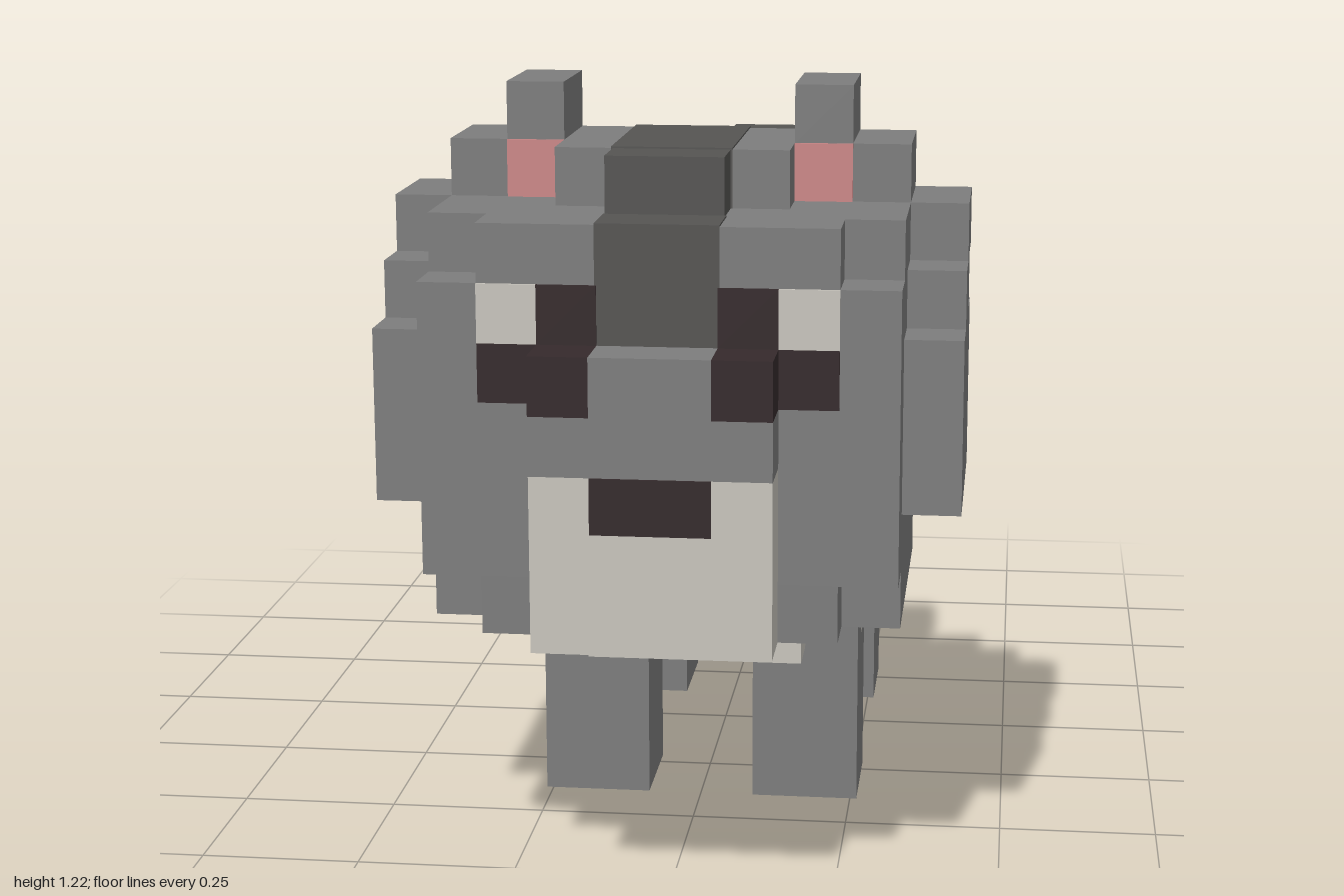
import * as THREE from 'three';

const U = 2 / 23; // one block

const mat = (name, color) => {
  const m = new THREE.MeshStandardMaterial({ color });
  m.name = name;
  return m;
};

export function createModel() {
  const grey = mat('greyFur', 0x7d7d7d);
  const dark = mat('darkFur', 0x555452);
  const cream = mat('creamFur', 0xc8c5bd);
  const brown = mat('darkBrown', 0x352a2c);
  const pink = mat('pinkEar', 0xcb8787);

  const root = new THREE.Group();
  root.name = 'blockAnimal';
  const group = (name) => {
    const g = new THREE.Group();
    g.name = name;
    root.add(g);
    return g;
  };

  // Box between block coordinates; grow makes a thin painted skin.
  const box = (parent, name, m, [x0, x1], [y0, y1], [z0, z1], grow = 0) => {
    const g = new THREE.BoxGeometry((x1 - x0 + grow * 2) * U, (y1 - y0 + grow * 2) * U, (z1 - z0 + grow * 2) * U);
    const mesh = new THREE.Mesh(g, m);
    mesh.name = name;
    mesh.position.set((x0 + x1) / 2 * U, (y0 + y1) / 2 * U, (z0 + z1) / 2 * U);
    parent.add(mesh);
  };
  const mid = (parent, name, m, w, y, z, grow) => box(parent, name, m, [-w, w], y, z, grow);
  const pair = (parent, name, m, [x0, x1], y, z, grow) => {
    box(parent, name + 'Left', m, [x0, x1], y, z, grow);
    box(parent, name + 'Right', m, [-x1, -x0], y, z, grow);
  };
  const SKIN = 0.03;

  // Body
  const body = group('body');
  mid(body, 'torso', grey, 3, [4, 6], [-3.5, 4.5]);
  mid(body, 'back', grey, 3, [6, 7], [-2.5, 4.5]);
  mid(body, 'backEnd', grey, 2, [6, 7], [-3.5, -2.5]);
  mid(body, 'tailRoot', grey, 1, [6, 7], [-4.5, -3.5]);
  mid(body, 'rump', grey, 2, [4, 5], [-4.5, -3.5]);
  mid(body, 'rumpStripe', dark, 2, [5, 6], [-4.5, -3.5]);
  mid(body, 'chest', grey, 2, [4, 5], [4.5, 5.5]);
  mid(body, 'neckStep', grey, 2, [7, 8], [2.5, 3.5]);
  mid(body, 'belly', cream, 2, [3, 4], [-4.5, 5.5]);
  pair(body, 'bellySide', cream, [2, 3], [3, 4], [-2.5, 3.5]);
  pair(body, 'shoulder', grey, [2, 3], [3, 4], [3.5, 4.5]);
  pair(body, 'hip', grey, [2, 3], [3, 4], [-3.5, -2.5]);
  for (const z of [-1.5, 1.5]) mid(body, 'backStripe', dark, 3, [5, 7], [z + 0.03, z + 0.97], SKIN);

  // Legs
  const legs = group('legs');
  pair(legs, 'frontLeg', grey, [1, 3], [0, 3], [2.5, 4.5]);
  pair(legs, 'hindLeg', grey, [1, 3], [0, 3], [-3.5, -1.5]);

  // Tail, rising in steps: z start, bottom, top
  const tail = group('tail');
  mid(tail, 'tailBase', grey, 1, [3, 6], [-6.5, -4.5]);
  for (const [z, lo, hi] of [[-7.5, 3, 7], [-8.5, 4, 9], [-9.5, 5, 11], [-10.5, 7, 11], [-11.5, 9, 11]])
    mid(tail, 'tailStep', dark, 1, [lo, hi], [z, z + 1]);

  // Head
  const head = group('head');
  mid(head, 'skull', grey, 4, [5, 12], [5.5, 9.5]);
  mid(head, 'face', grey, 4, [6, 11], [9.5, 10.5]);
  mid(head, 'forehead', grey, 3, [11, 12], [9.5, 10.5]);
  mid(head, 'chin', grey, 3, [5, 6], [9.5, 10.5]);
  mid(head, 'nape', grey, 4, [5, 11], [4.5, 5.5]);
  mid(head, 'napeTop', grey, 2, [11, 12], [4.5, 5.5]);
  mid(head, 'backPlate', grey, 3, [7, 11], [3.5, 4.5]);
  mid(head, 'crown', grey, 4, [12, 13], [5.5, 7.5]);
  mid(head, 'crownFront', grey, 2, [12, 13], [7.5, 8.5]);
  mid(head, 'crownTip', dark, 1, [12, 13], [8.5, 9.5]);
  pair(head, 'cheek', grey, [4, 5], [7, 10], [5.5, 9.5]);
  pair(head, 'cheekMiddle', grey, [4, 5], [10, 11], [6.5, 8.5]);
  pair(head, 'cheekTop', grey, [4, 5], [11, 12], [5.5, 7.5]);

  // Dark stripe over the head
  for (const [y, z0, z1] of [[10, 9.5, 10.5], [11, 9.5, 10.5], [12, 5.5, 8.5], [11, 4.5, 5.5], [10, 3.5, 4.5]])
    mid(head, 'headStripe', dark, 1, [y, y + 1], [z0, z1], SKIN);

  // Ears
  pair(head, 'ear', grey, [2, 3], [13, 14], [5.5, 7.5]);
  pair(head, 'innerEar', pink, [2, 3], [12, 13], [7.5, 7.55]);

  // Muzzle, nose and eyes
  mid(head, 'muzzle', cream, 2, [5, 8], [10.5, 11.5]);
  mid(head, 'muzzleTop', grey, 2, [8, 9], [10.5, 11.5]);
  mid(head, 'bridge', grey, 1, [9, 10], [10.5, 11.5]);
  mid(head, 'nose', brown, 1, [7.05, 8], [11.45, 11.53]);
  pair(head, 'eyeCorner', brown, [1, 2], [9, 10], [10.5, 11.5]);
  pair(head, 'eyeUpper', brown, [1, 2], [10, 11], [10.5, 10.55]);
  pair(head, 'eyeLower', brown, [2, 3], [9, 10], [10.5, 10.55]);
  pair(head, 'eyeWhite', cream, [2, 3], [10, 11], [10.5, 10.55]);

  return root;
}
